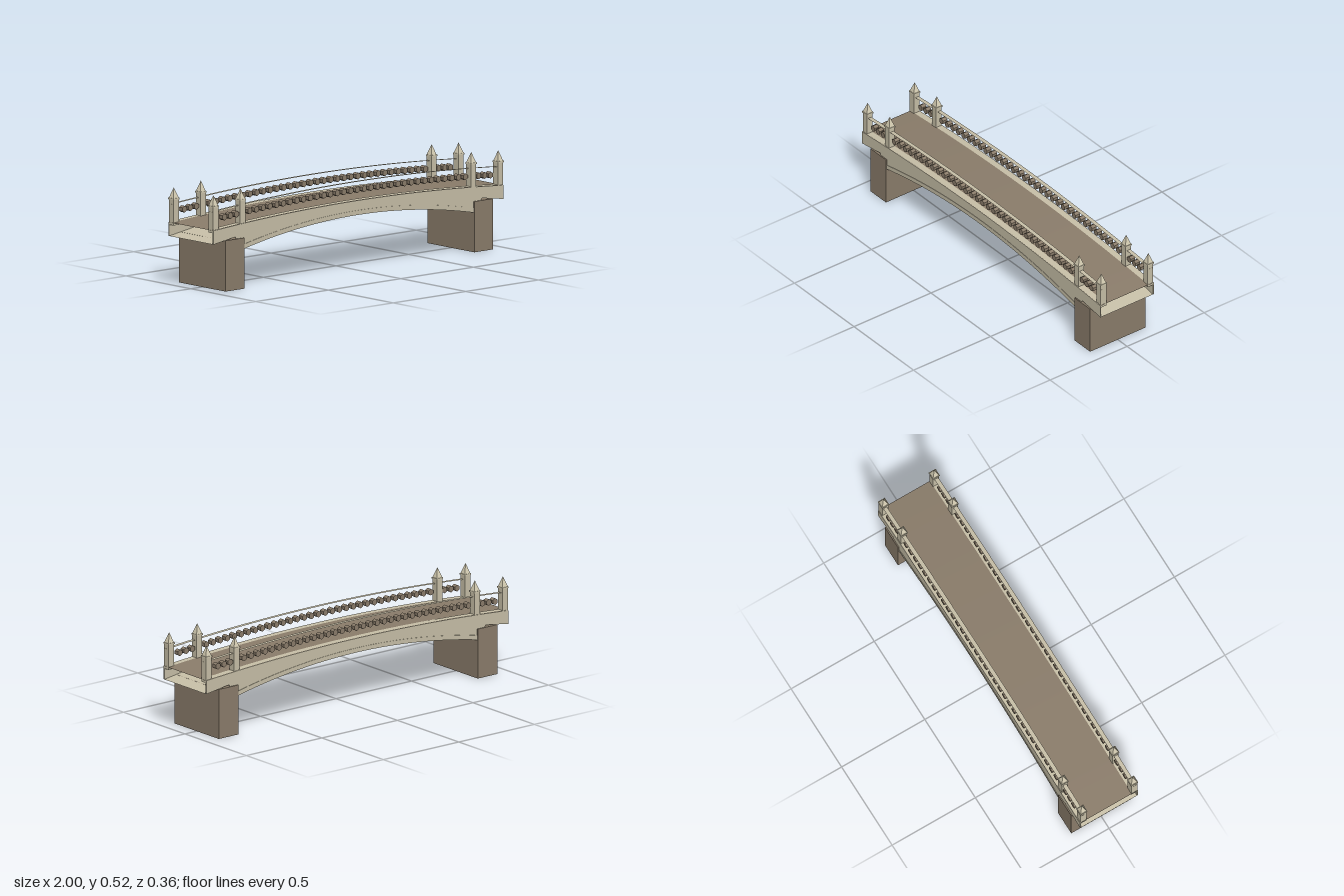
import * as THREE from 'three';

const mat = (name, color, side = THREE.FrontSide) => {
  const m = new THREE.MeshStandardMaterial({ color, side });
  m.name = name;
  return m;
};

// Height rules along the span
const deckY = x => 0.365 - 0.04 * x * x;
const archY = x => 0.29 - 0.085 * (x / 0.8) ** 2;
const endFloorY = x => 0.253 + (1 - Math.abs(x)) * 0.15;

// Points of a curve from x0 to x1
function curve(f, x0, x1, n = 40) {
  return Array.from({ length: n + 1 }, (_, i) => {
    const x = x0 + (x1 - x0) * i / n;
    return new THREE.Vector2(x, f(x));
  });
}

export function createModel() {
  const bridge = new THREE.Group();
  bridge.name = 'bridge';
  const stone = mat('pale stone', 0xc8c0a8, THREE.DoubleSide);
  const cap = mat('light cap stone', 0xd4ccb2);
  const brown = mat('brown stone', 0x8b7d6b, THREE.DoubleSide);

  const add = (name, geo, material, x = 0, y = 0, z = 0, parent = bridge) => {
    const mesh = new THREE.Mesh(geo, material);
    mesh.name = name;
    mesh.position.set(x, y, z);
    parent.add(mesh);
    return mesh;
  };

  // Thin sheet that follows a height rule from x0 to x1
  const ribbon = (name, f, x0, x1, width, material, z = 0) => {
    const geo = new THREE.PlaneGeometry(x1 - x0, width, 40, 1).rotateX(-Math.PI / 2);
    geo.translate((x0 + x1) / 2, 0, 0);
    const p = geo.attributes.position;
    for (let i = 0; i < p.count; i++) p.setY(i, f(p.getX(i)));
    geo.computeVertexNormals();
    add(name, geo, material, 0, 0, z);
  };

  // Hollow span: road on top, arch soffit and end floors below
  ribbon('roadDeck', deckY, -1, 1, 0.34, brown);
  ribbon('archSoffit', archY, -0.8, 0.8, 0.336, stone);
  for (const s of [-1, 1]) {
    ribbon('endFloor', endFloorY, s < 0 ? -1 : 0.8, s < 0 ? -0.8 : 1, 0.336, stone);
    add('pier', new THREE.BoxGeometry(0.13, 0.265, 0.36), brown, s * 0.857, 0.1325, 0);
  }

  const wallShape = new THREE.Shape([
    ...curve(deckY, 1, -1),
    ...curve(endFloorY, -1, -0.85, 2),
    ...curve(archY, -0.8, 0.8),
    ...curve(endFloorY, 0.85, 1, 2),
  ]);
  const bandShape = new THREE.Shape([
    ...curve(archY, -0.8, 0.8),
    ...curve(x => archY(x) + 0.024, 0.8, -0.8),
  ]);
  const wallGeo = new THREE.ExtrudeGeometry(wallShape, { depth: 0.006, bevelEnabled: false }).translate(0, 0, -0.003);
  const bandGeo = new THREE.ExtrudeGeometry(bandShape, { depth: 0.008, bevelEnabled: false }).translate(0, 0, -0.004);

  const balusterGeo = new THREE.CylinderGeometry(0.0175, 0.0175, 0.028, 6).rotateX(Math.PI / 2).toNonIndexed();
  balusterGeo.computeVertexNormals();
  const spireGeo = new THREE.ConeGeometry(0.018 * Math.SQRT2, 0.054, 4).rotateY(Math.PI / 4).toNonIndexed();
  spireGeo.computeVertexNormals();

  const balusterX = Array.from({ length: 33 }, (_, i) => (i - 16) * 0.0464);
  for (const x of [0.835, 0.876, 0.917]) balusterX.push(x, -x);

  for (const side of [-1, 1]) {
    // Side wall with a raised arch band, curb and handrail
    add('sideWall', wallGeo, stone, 0, 0, side * 0.171);
    add('archBand', bandGeo, stone, 0, 0, side * 0.172);
    ribbon('curb', x => deckY(x) + 0.002, -1, 1, 0.034, stone, side * 0.154);
    ribbon('handrail', x => deckY(x) + 0.096, -1, 1, 0.022, stone, side * 0.154);

    for (const x of balusterX)
      add('baluster', balusterGeo, brown, x, deckY(x) + 0.055, side * 0.154);

    // Posts with a cornice and a pointed cap
    for (const x of [-0.981, -0.795, 0.795, 0.981]) {
      const post = new THREE.Group();
      post.name = 'post';
      post.position.set(x, deckY(x) - 0.015, side * 0.1525);
      add('postShaft', new THREE.BoxGeometry(0.036, 0.133, 0.036), stone, 0, 0.0665, 0, post);
      add('postCornice', new THREE.BoxGeometry(0.042, 0.008, 0.042), cap, 0, 0.137, 0, post);
      add('postSpire', spireGeo, cap, 0, 0.168, 0, post);
      bridge.add(post);
    }
  }
  return bridge;
}
